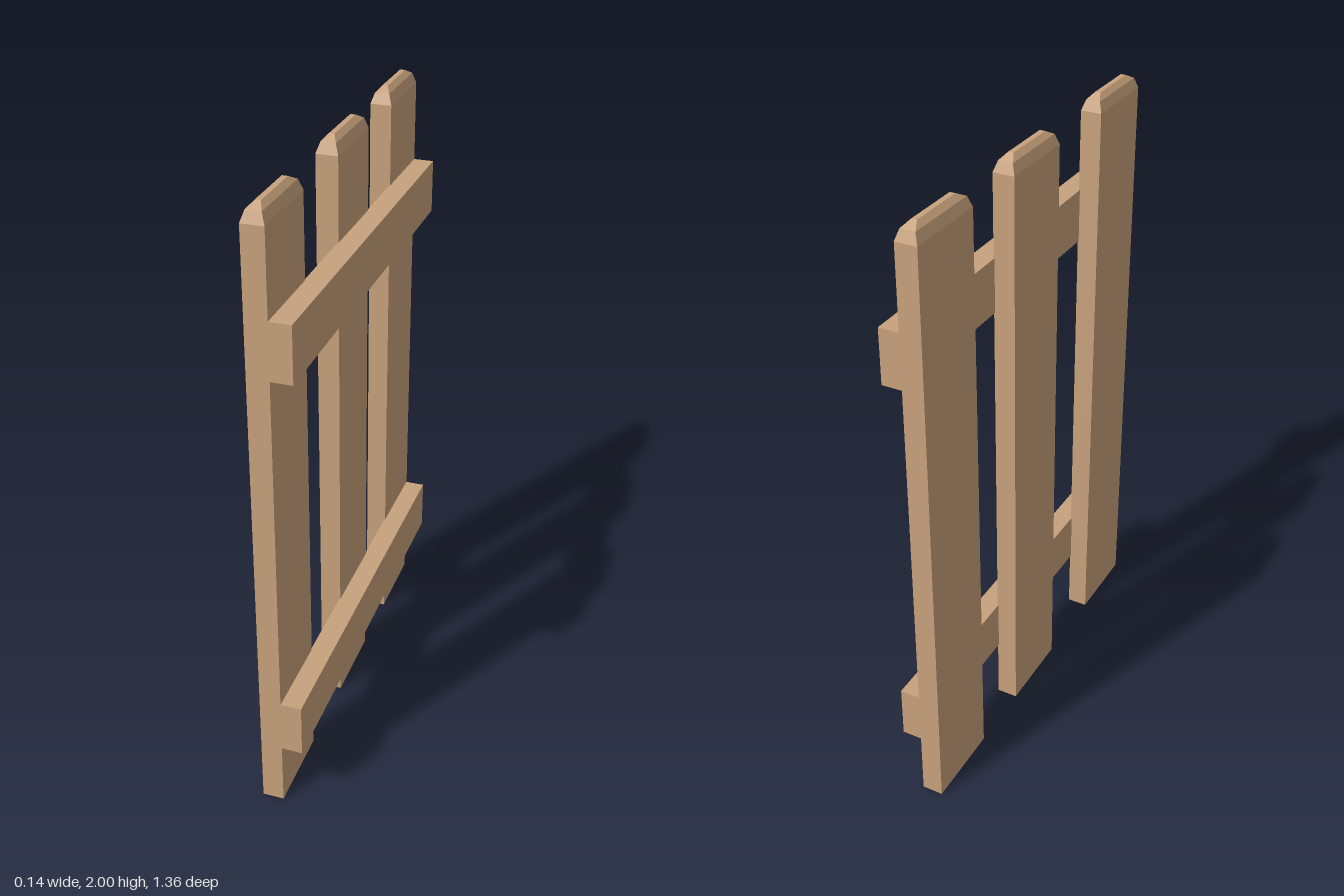
import * as THREE from 'three';

const wood = new THREE.MeshStandardMaterial({ color: 0xc8a27c, flatShading: true });
wood.name = 'wood';

// Board cross-sections from foot to tip: [height, inset in x, inset in z]
const SECTIONS = [
  [0, 0, 0],
  [1.95, 0, 0],
  [1.983, 0.011, 0.012],
  [2, 0.026, 0.045],
];

// Upright board with a bevelled top, lofted through rectangular sections
function picketGeometry(width, depth) {
  const positions = [];
  const index = [];
  for (const [y, insetX, insetZ] of SECTIONS) {
    const x = width / 2 - insetX;
    const z = depth / 2 - insetZ;
    positions.push(-x, y, -z, -x, y, z, x, y, z, x, y, -z);
  }
  for (let s = 0; s < SECTIONS.length - 1; s++) {
    for (let i = 0; i < 4; i++) {
      const a = s * 4 + i;
      const b = s * 4 + ((i + 1) % 4);
      index.push(a, b, b + 4, a, b + 4, a + 4);
    }
  }
  const t = (SECTIONS.length - 1) * 4;
  index.push(t, t + 1, t + 2, t, t + 2, t + 3, 0, 2, 1, 0, 3, 2);
  const indexed = new THREE.BufferGeometry();
  indexed.setAttribute('position', new THREE.Float32BufferAttribute(positions, 3));
  indexed.setIndex(index);
  const geometry = indexed.toNonIndexed();
  geometry.computeVertexNormals();
  return geometry;
}

export function createModel() {
  const fence = new THREE.Group();
  fence.name = 'fencePanel';

  // Three upright pickets
  const picket = picketGeometry(0.069, 0.28);
  [['frontPicket', 0.537], ['middlePicket', -0.027], ['backPicket', -0.538]].forEach(([name, z]) => {
    const mesh = new THREE.Mesh(picket, wood);
    mesh.name = name;
    mesh.position.set(-0.0345, 0, z);
    fence.add(mesh);
  });

  // Two rails across the left side of the pickets
  const rail = new THREE.BoxGeometry(0.07, 0.177, 1.352);
  [['lowerRail', 0.303], ['upperRail', 1.599]].forEach(([name, y]) => {
    const mesh = new THREE.Mesh(rail, wood);
    mesh.name = name;
    mesh.position.set(0.032, y, 0.001);
    fence.add(mesh);
  });

  return fence;
}
